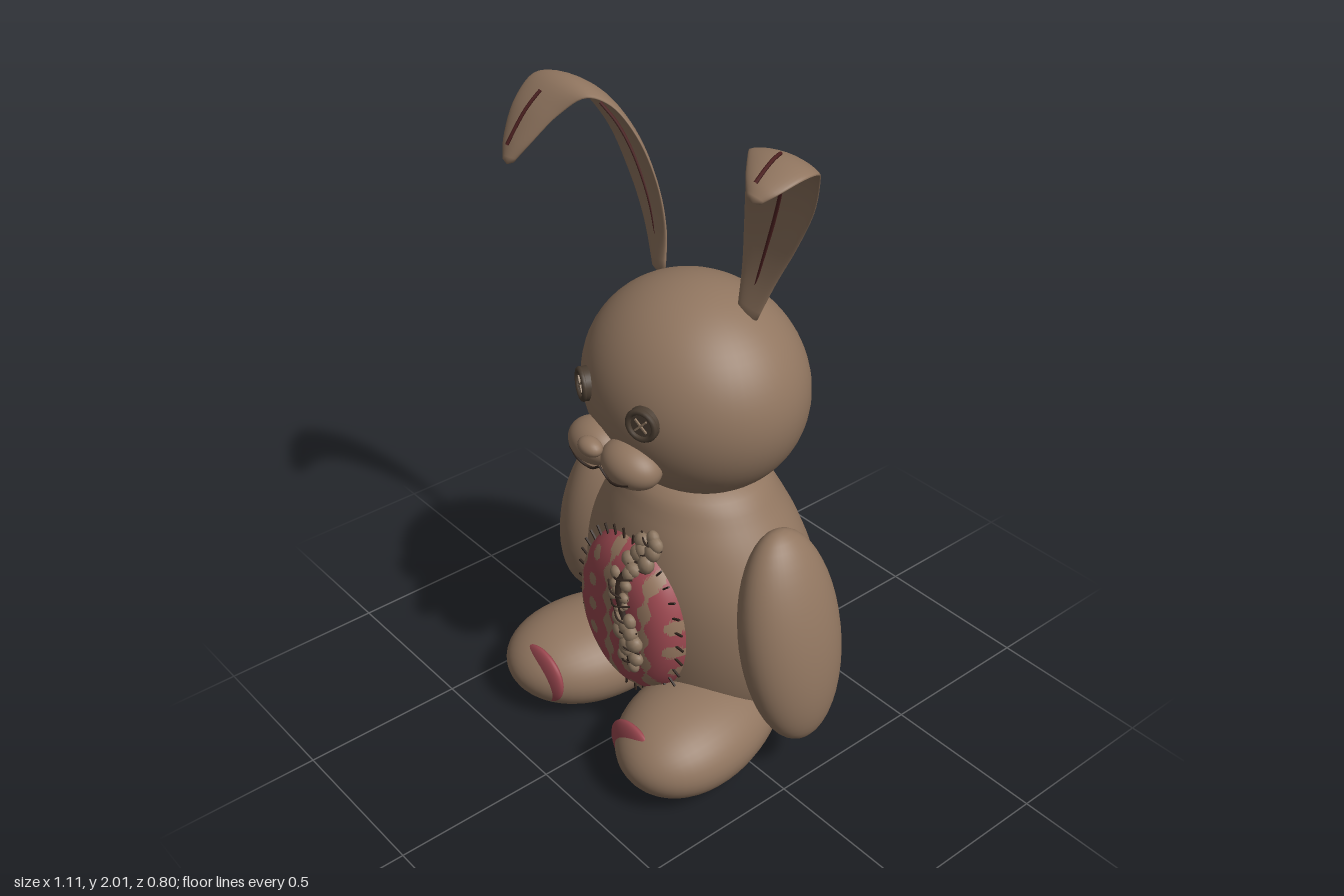
import * as THREE from 'three';
import { mergeVertices } from 'three/addons/utils/BufferGeometryUtils.js';

const mat = (name, color, side = THREE.FrontSide) =>
  Object.assign(new THREE.MeshStandardMaterial({ color, side }), { name });
const V = (x, y, z) => new THREE.Vector3(x, y, z);

export function createModel() {
  const root = new THREE.Group();
  root.name = 'plushRabbit';
  const fur = mat('fur', 0x917660);
  const pink = mat('pinkCloth', 0x9c4850);
  const dots = mat('clothDots', 0x94765f);
  const button = mat('buttonBrown', 0x4a3d31);
  const thread = mat('darkThread', 0x33261f);
  const seamRed = mat('seamRed', 0x4c2020);
  const stuffing = mat('stuffing', 0x8c7660);

  const add = (name, geo, material, parent = root) => {
    const m = new THREE.Mesh(geo, material);
    m.name = name;
    parent.add(m);
    return m;
  };

  // Smooth surface through f(u, v), turned outwards when closed
  const surface = (f, nu, nv) => {
    const pos = [], idx = [];
    for (let j = 0; j <= nv; j++) for (let i = 0; i <= nu; i++) {
      pos.push(...f((i % nu) / nu, j / nv).toArray());
    }
    let volume = 0;
    const at = (i) => V().fromArray(pos, i * 3);
    for (let j = 0; j < nv; j++) for (let i = 0; i < nu; i++) {
      const a = j * (nu + 1) + i, b = a + 1, c = a + nu + 1, d = c + 1;
      for (const t of [[a, b, d], [a, d, c]]) {
        idx.push(...t);
        volume += at(t[0]).dot(at(t[1]).cross(at(t[2])));
      }
    }
    if (volume < 0) idx.reverse();
    let g = new THREE.BufferGeometry();
    g.setAttribute('position', new THREE.Float32BufferAttribute(pos, 3));
    g.setIndex(idx);
    g = mergeVertices(g, 1e-5);
    g.computeVertexNormals();
    return g;
  };

  const ellipsoid = (name, c, r, material = fur, rot = [0, 0, 0], seg = 40) => {
    const m = add(name, new THREE.SphereGeometry(1, seg, Math.round(seg * 0.6)), material);
    m.position.set(...c);
    m.scale.set(...r);
    m.rotation.set(...rot);
    return m;
  };
  const cord = (name, pts, r, material) => add(name,
    new THREE.TubeGeometry(new THREE.CatmullRomCurve3(pts), pts.length * 6, r, 6), material);

  // Body: rings of height, half width, back z, front z
  const rings = [
    [0.04, 0.005, -0.06, -0.05], [0.06, 0.16, -0.19, 0.07], [0.12, 0.27, -0.27, 0.12],
    [0.22, 0.36, -0.345, 0.16], [0.34, 0.405, -0.385, 0.18], [0.46, 0.415, -0.4, 0.188],
    [0.58, 0.395, -0.392, 0.185], [0.7, 0.34, -0.36, 0.168], [0.8, 0.275, -0.315, 0.14],
    [0.88, 0.21, -0.265, 0.1], [0.95, 0.01, -0.1, -0.08]];
  const sizes = new THREE.CatmullRomCurve3(rings.map(([y, w, b]) => V(y, w, b)));
  const fronts = new THREE.CatmullRomCurve3(rings.map(([y, , , f]) => V(y, f, 0)));
  add('body', surface((u, v) => {
    const s = sizes.getPoint(v), f = fronts.getPoint(v).y, a = u * Math.PI * 2;
    return V(s.y * Math.cos(a), s.x, (s.z + f) / 2 + (f - s.z) / 2 * Math.sin(a));
  }, 56, 44), fur);

  ellipsoid('head', [0.018, 1.17, -0.06], [0.347, 0.312, 0.3], fur, [0, 0, 0], 56);

  // Arms, legs and sole patches
  for (const s of [1, -1]) {
    const side = s > 0 ? 'left' : 'right';
    ellipsoid(side + 'Arm', [s * 0.418, 0.5, -0.077], [0.118, 0.338, 0.166], fur, [0, 0, s * 0.2]);
    add(side + 'Leg', surface((u, v) => {
      const a = u * Math.PI * 2, t = v * Math.PI, z = -Math.cos(t);
      const r = Math.sin(t) * (1 + 0.16 * z);
      return V(s * (0.24 + 0.035 * z + 0.2 * r * Math.cos(a)),
        0.155 + 0.143 * r * Math.sin(a), 0.09 + 0.312 * z);
    }, 44, 28), fur);
    ellipsoid(side + 'SolePatch', [s * 0.228, 0.168, 0.34], [0.108, 0.094, 0.026], pink, [0, 0, -s * 0.3]);
  }

  // Belly patch: domed cloth with dotted stripes
  const P = { y: 0.46, rx: 0.222, ry: 0.268 };
  const patchZ = (x, y) => {
    const r2 = (x / P.rx) ** 2 + ((y - P.y) / P.ry) ** 2;
    return 0.13 + 0.108 * Math.sqrt(Math.max(0, 1 - r2 * r2));
  };
  const patch = surface((u, v) => {
    const a = u * Math.PI * 2, r = Math.sin(v * Math.PI / 2);
    const x = P.rx * r * Math.cos(a), y = P.y + P.ry * r * Math.sin(a);
    return V(x, y, v === 1 ? 0.13 : patchZ(x, y));
  }, 120, 56);
  const isDot = (x, y) => {
    const col = Math.round((x + 0.02) / 0.075);
    const dx = Math.abs(x + 0.02 - col * 0.075);
    const wave = Math.cos(y * 72 + col * 2.1);
    return col % 2 === 0 ? dx < 0.014 + 0.009 * wave : dx < 0.019 * Math.sqrt(Math.max(0, wave));
  };
  const pa = patch.attributes.position, pi = patch.index.array, cloth = [[], []];
  for (let i = 0; i < pi.length; i += 3) {
    const t = [pi[i], pi[i + 1], pi[i + 2]];
    const x = t.reduce((q, k) => q + pa.getX(k) / 3, 0), y = t.reduce((q, k) => q + pa.getY(k) / 3, 0);
    cloth[isDot(x, y) ? 1 : 0].push(...t);
  }
  // The disc fan must face forward
  const nz = patch.attributes.normal;
  let facing = 0;
  for (let i = 0; i < nz.count; i++) facing += nz.getZ(i);
  if (facing < 0) {
    cloth.forEach((c) => c.reverse());
    for (let i = 0; i < nz.array.length; i++) nz.array[i] *= -1;
  }
  patch.setIndex([...cloth[0], ...cloth[1]]);
  patch.addGroup(0, cloth[0].length, 0);
  patch.addGroup(cloth[0].length, cloth[1].length, 1);
  add('bellyPatch', patch, [pink, dots]);

  // Stitches around the patch
  for (let i = 0; i < 34; i++) {
    const a = i / 34 * Math.PI * 2, c = Math.cos(a), s = Math.sin(a);
    const m = add('patchStitch', new THREE.BoxGeometry(0.036, 0.005, 0.006), thread);
    m.position.set(c * P.rx * 1.01, P.y + s * P.ry * 1.01, 0.172);
    m.rotation.z = a;
  }

  // Torn seam with stuffing pushing out
  const tear = new THREE.CatmullRomCurve3([[0.1, 0.78], [0.07, 0.7], [0.03, 0.61], [0.05, 0.53], [0.08, 0.45], [0.08, 0.34]]
    .map(([x, y]) => V(x, y, Math.max(patchZ(x, y), 0.155) + 0.002)));
  add('tear', new THREE.TubeGeometry(tear, 40, 0.012, 6), thread);
  for (let i = 0; i < 30; i++) {
    const t = (i + 0.5) / 30, p = tear.getPoint(t), k = Math.sin(i * 12.9) * 0.5 + 0.5;
    const gap = Math.abs(t - 0.6) < 0.05;
    const r = gap ? 0.012 : 0.016 + 0.012 * k;
    ellipsoid('stuffing', [p.x + Math.sin(i * 2.4) * 0.03, p.y, p.z + 0.004 * k],
      [r, r * 1.1, r * 0.8], stuffing, [0, 0, i], 12);
  }
  for (let i = 0; i < 10; i++) {
    const p = tear.getPoint((i + 0.5) / 10), s = i % 2 ? 1 : -1;
    cord('tearStitch', [V(p.x - 0.045, p.y - s * 0.012, p.z), V(p.x, p.y, p.z + 0.022),
      V(p.x + 0.045, p.y + s * 0.012, p.z)], 0.003, thread);
  }

  // Button eyes with crossed thread
  for (const [x, z, turn] of [[-0.13, 0.212, -0.4], [0.135, 0.222, 0.32]]) {
    const eye = new THREE.Group();
    eye.name = 'buttonEye';
    add('disc', new THREE.CylinderGeometry(0.048, 0.05, 0.022, 28), button, eye).rotation.x = Math.PI / 2;
    add('rim', new THREE.TorusGeometry(0.041, 0.009, 8, 28), button, eye).position.z = 0.01;
    for (const a of [1, -1]) {
      const b = add('crossThread', new THREE.BoxGeometry(0.05, 0.005, 0.006), stuffing, eye);
      b.position.z = 0.013;
      b.rotation.z = a * Math.PI / 4;
    }
    eye.position.set(x, 1.195, z);
    eye.rotation.y = turn;
    root.add(eye);
  }

  // Muzzle, nose and mouth
  for (const s of [1, -1]) {
    ellipsoid('muzzle', [s * 0.078, 1.04, 0.218], [0.096, 0.066, 0.072], fur, [0, s * 0.12, -s * 0.1]);
    cord('mouth', [V(0, 1.012, 0.268), V(s * 0.04, 0.988, 0.268), V(s * 0.085, 0.998, 0.277),
      V(s * 0.13, 1.016, 0.27)], 0.004, thread);
  }
  ellipsoid('nose', [-0.003, 1.087, 0.296], [0.042, 0.027, 0.03], fur, [0, 0, 0], 24);

  // Ears: outer and inner edge points from root to folded tip
  const ear = (name, s, outer, inner) => {
    const A = new THREE.CatmullRomCurve3(outer.map((p) => V(...p)));
    const B = new THREE.CatmullRomCurve3(inner.map((p) => V(...p)));
    const frame = (t) => {
      const a = A.getPoint(t), b = B.getPoint(t);
      const mid = a.clone().add(b).multiplyScalar(0.5), half = a.sub(b).multiplyScalar(0.5);
      const n = A.getTangent(t).add(B.getTangent(t)).cross(half).normalize().multiplyScalar(-s);
      return { mid, half, n };
    };
    add(name, surface((u, v) => {
      const { mid, half, n } = frame(v), a = u * Math.PI * 2;
      const end = v === 0 || v === 1 ? 0 : 1;
      return mid.addScaledVector(half, Math.cos(a) * (end || 0.01))
        .addScaledVector(n, 0.011 * Math.sin(a) * end - 0.014 * Math.sin(v * Math.PI) * Math.sin(a) ** 2);
    }, 28, 48), fur);
    // Seams on the inner face and on the folded tip
    for (const [t0, t1, lift] of [[0.1, 0.46, 0.002], [0.7, 0.9, -0.026]]) {
      const pts = [0, 1, 2, 3, 4, 5].map((i) => {
        const t = t0 + (t1 - t0) * i / 5, f = frame(t);
        return f.mid.addScaledVector(f.n, lift);
      });
      cord(name + 'Seam', pts, 0.005, seamRed);
    }
  };
  ear('rightEar', -1,
    [[-0.205, 1.4, -0.1], [-0.27, 1.55, -0.115], [-0.34, 1.67, -0.118], [-0.42, 1.8, -0.1], [-0.5, 1.895, -0.045],
      [-0.553, 1.922, 0.025], [-0.553, 1.87, 0.1], [-0.535, 1.77, 0.16], [-0.505, 1.715, 0.185]],
    [[-0.15, 1.42, -0.09], [-0.155, 1.55, -0.1], [-0.175, 1.69, -0.085], [-0.215, 1.82, -0.05], [-0.265, 1.902, -0.005],
      [-0.31, 1.922, 0.04], [-0.37, 1.87, 0.09], [-0.43, 1.78, 0.15], [-0.475, 1.715, 0.185]]);
  ear('leftEar', 1,
    [[0.205, 1.4, -0.1], [0.27, 1.55, -0.115], [0.335, 1.67, -0.118], [0.405, 1.8, -0.105], [0.475, 1.925, -0.05],
      [0.54, 1.985, 0.025], [0.553, 1.993, 0.08], [0.538, 1.97, 0.15], [0.51, 1.945, 0.185]],
    [[0.15, 1.42, -0.09], [0.155, 1.56, -0.1], [0.175, 1.7, -0.085], [0.215, 1.83, -0.05], [0.265, 1.93, -0.01],
      [0.315, 1.978, 0.035], [0.365, 1.993, 0.085], [0.43, 1.975, 0.15], [0.475, 1.945, 0.185]]);

  return root;
}
